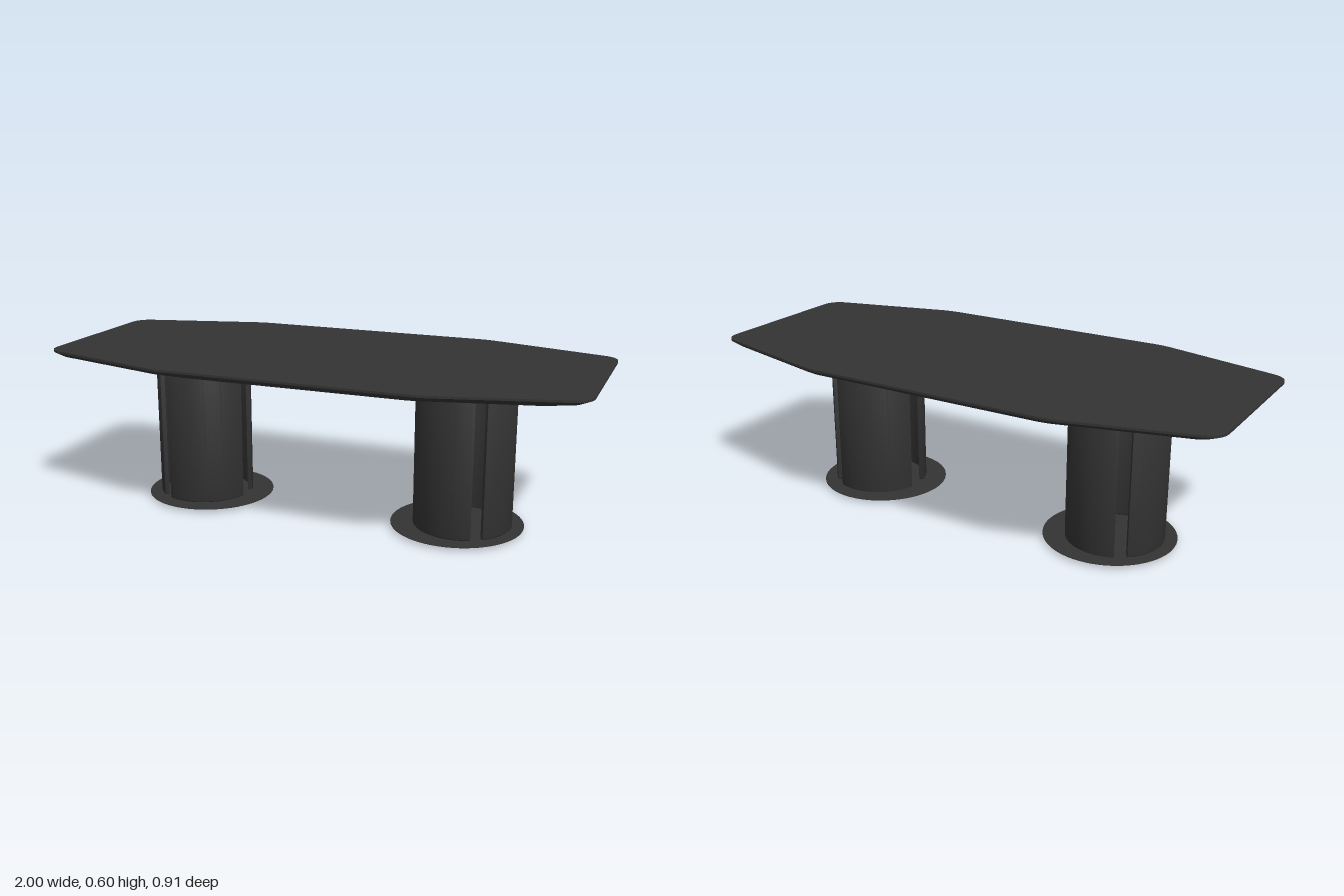
import * as THREE from 'three';
import { toCreasedNormals } from 'three/addons/utils/BufferGeometryUtils.js';

const charcoal = new THREE.MeshStandardMaterial({ color: 0x333333 });
charcoal.name = 'charcoal';

function addMesh(parent, name, geometry) {
  const mesh = new THREE.Mesh(geometry, charcoal);
  mesh.name = name;
  parent.add(mesh);
  return mesh;
}

// Elongated octagon with rounded corners, as a list of Vector2 (x, z)
function topOutline() {
  const half = [[1, 0.322], [0.48, 0.457], [-0.48, 0.457], [-1, 0.322]];
  const corners = [...half, ...half.map(([x, z]) => [-x, -z])].map(([x, z]) => new THREE.Vector2(x, z));
  const n = corners.length;
  const points = [];
  corners.forEach((c, i) => {
    const radius = Math.abs(c.x) > 0.9 ? 0.06 : 0.04;
    const towards = (p) => p.clone().sub(c).setLength(radius).add(c);
    const curve = new THREE.QuadraticBezierCurve(towards(corners[(i + n - 1) % n]), c, towards(corners[(i + 1) % n]));
    points.push(...curve.getPoints(8));
  });
  return points;
}

// Skin scaled copies of the outline from top centre to bottom centre; ring = [y, scaleX, scaleZ]
function loft(outline, rings) {
  const positions = [];
  const n = outline.length;
  const put = ([y, sx, sz], i) => positions.push(outline[i % n].x * sx, y, outline[i % n].y * sz);
  for (let r = 0; r < rings.length - 1; r++) {
    const a = rings[r], b = rings[r + 1];
    for (let i = 0; i < n; i++) {
      if (a[1] > 0) { put(a, i); put(a, i + 1); put(b, i); }
      if (b[1] > 0) { put(a, i + 1); put(b, i + 1); put(b, i); }
    }
  }
  const geometry = new THREE.BufferGeometry();
  geometry.setAttribute('position', new THREE.Float32BufferAttribute(positions, 3));
  return toCreasedNormals(geometry, 0.35);
}

// Curved upright panel; angles in degrees from +z towards +x
function panelGeometry(from, to, y0, y1) {
  const bevel = 0.005, outer = 0.18 - bevel, inner = 0.164 + bevel;
  const pad = THREE.MathUtils.radToDeg(bevel / outer);
  const a = THREE.MathUtils.degToRad(from + pad - 90);
  const b = THREE.MathUtils.degToRad(to - pad - 90);
  const shape = new THREE.Shape();
  shape.absarc(0, 0, outer, a, b, false);
  shape.absarc(0, 0, inner, b, a, true);
  const geometry = new THREE.ExtrudeGeometry(shape, {
    depth: y1 - y0 - 2 * bevel, curveSegments: 28,
    bevelEnabled: true, bevelThickness: bevel, bevelSize: bevel, bevelSegments: 3,
  });
  geometry.rotateX(-Math.PI / 2);
  geometry.translate(0, y0 + bevel, 0);
  return toCreasedNormals(geometry, 0.6);
}

export function createModel() {
  const table = new THREE.Group();
  table.name = 'table';

  // Bevelled top with a smaller bevelled layer below it
  addMesh(table, 'tableTop', loft(topOutline(), [
    [0.6, 0, 0], [0.6, 1, 1], [0.592, 1, 1], [0.578, 0.968, 0.968],
    [0.576, 0.91, 0.858], [0.568, 0.91, 0.858], [0.556, 0.895, 0.81], [0.556, 0, 0],
  ]));

  // Two mirrored pedestals of three curved panels each
  const panels = [
    ['frontPanel', -78, 24, 0.013, 0.557],
    ['outerPanel', 38, 141, 0.013, 0.557],
    ['backPanel', 156, 258, 0, 0.54],
  ];
  for (const side of [1, -1]) {
    const pedestal = new THREE.Group();
    pedestal.name = side > 0 ? 'leftPedestal' : 'rightPedestal';
    for (const [name, from, to, y0, y1] of panels) {
      const [a, b] = side > 0 ? [from, to] : [-to, -from];
      addMesh(pedestal, name, panelGeometry(a, b, y0, y1)).position.set(side * 0.522, 0, 0.002);
    }
    // Thin floor plate and matching plate under the top
    const plate = new THREE.CylinderGeometry(0.243, 0.243, 0.002, 64);
    addMesh(pedestal, 'floorPlate', plate).position.set(side * 0.502, 0.012, 0.002);
    addMesh(pedestal, 'mountingPlate', plate).position.set(side * 0.502, 0.5555, 0.002);
    table.add(pedestal);
  }
  return table;
}
